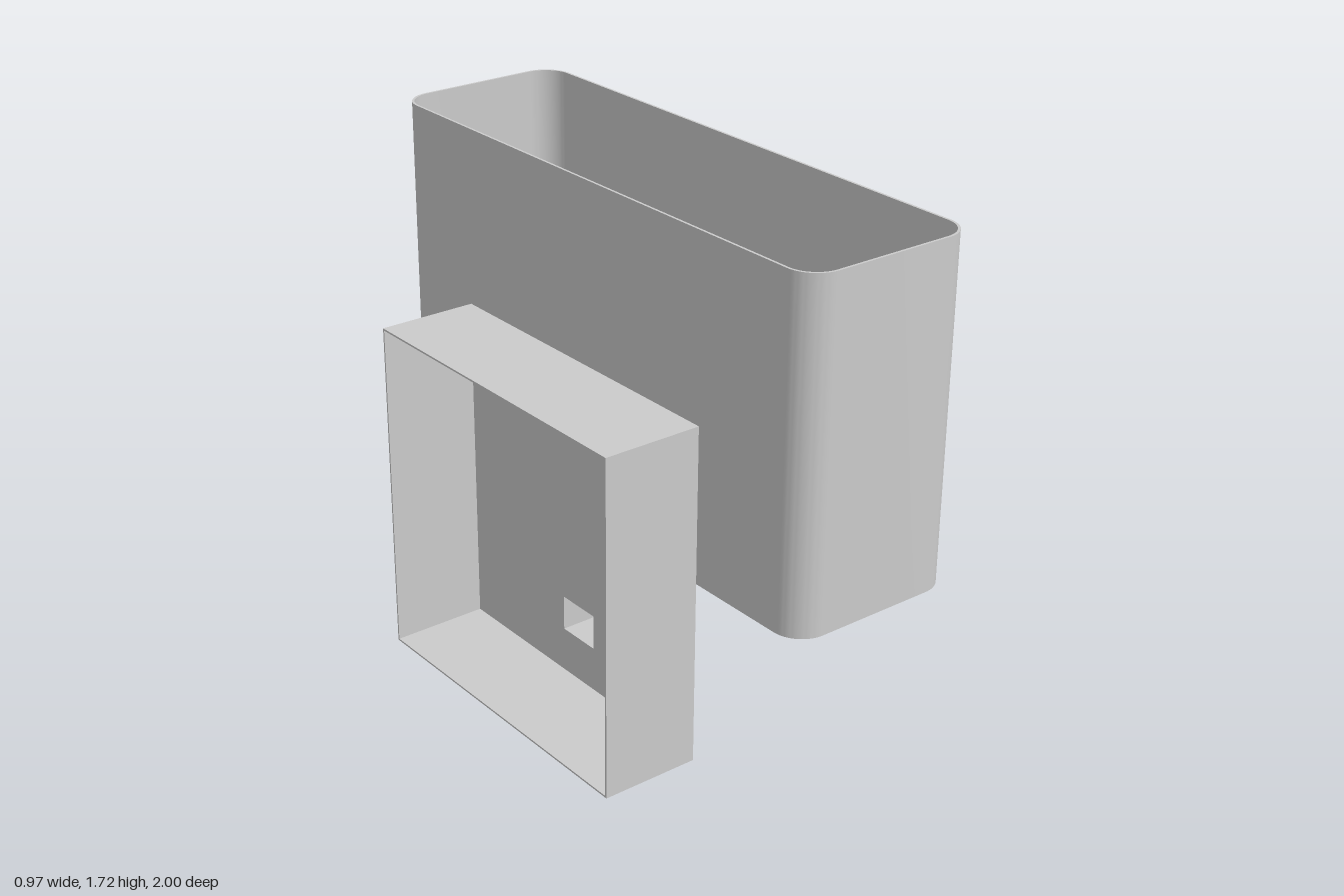
import * as THREE from 'three';
import { toCreasedNormals } from 'three/addons/utils/BufferGeometryUtils.js';

const grey = new THREE.MeshStandardMaterial({ color: 0xcccccc });
const greyDouble = new THREE.MeshStandardMaterial({ color: 0xcccccc, side: THREE.DoubleSide });

function add(group, name, geometry, material = grey) {
  const mesh = new THREE.Mesh(geometry, material);
  mesh.name = name;
  group.add(mesh);
  return mesh;
}

// Rectangle outline with optional rounded corners
function rect(Type, x0, y0, x1, y1, r = 0) {
  const p = new Type();
  if (r === 0) {
    return p.moveTo(x0, y0).lineTo(x1, y0).lineTo(x1, y1).lineTo(x0, y1).closePath();
  }
  p.moveTo(x0 + r, y0).lineTo(x1 - r, y0);
  p.absarc(x1 - r, y0 + r, r, -Math.PI / 2, 0);
  p.lineTo(x1, y1 - r).absarc(x1 - r, y1 - r, r, 0, Math.PI / 2);
  p.lineTo(x0 + r, y1).absarc(x0 + r, y1 - r, r, Math.PI / 2, Math.PI);
  p.lineTo(x0, y0 + r).absarc(x0 + r, y0 + r, r, Math.PI, Math.PI * 1.5);
  return p;
}

// Extrudes an outline with one hole
function frame(outer, hole, depth) {
  outer.holes.push(hole);
  const g = new THREE.ExtrudeGeometry(outer, { depth, bevelEnabled: false, curveSegments: 10 });
  return toCreasedNormals(g, 0.5);
}

// Square-section tube, bent once, open at both ends
function bentArm() {
  const w = 0.08;
  // lower/outer and upper/inner corner of each section
  const sections = [
    [-0.155, 0.16, -0.155, 0.28],
    [0.23, 0.16, 0.12, 0.28],
    [0.23, 0.63, 0.12, 0.63],
  ];
  const pos = [];
  const index = [];
  for (const [ox, oy, ix, iy] of sections) {
    pos.push(ox, oy, w, ix, iy, w, ix, iy, -w, ox, oy, -w);
  }
  for (let s = 0; s < 2; s++) {
    for (let i = 0; i < 4; i++) {
      const a = s * 4 + i;
      const b = s * 4 + ((i + 1) % 4);
      index.push(a, a + 4, b, b, a + 4, b + 4);
    }
  }
  const g = new THREE.BufferGeometry();
  g.setAttribute('position', new THREE.Float32BufferAttribute(pos, 3));
  g.setIndex(index);
  return toCreasedNormals(g, 0.3);
}

export function createModel() {
  const lamp = new THREE.Group();
  lamp.name = 'wallLamp';

  // Wall box: thin sides, open at the wall, with a hole for the arm
  const t = 0.006;
  const wallBox = new THREE.Group();
  wallBox.name = 'wallBox';
  lamp.add(wallBox);
  const sides = frame(
    rect(THREE.Shape, -0.58, 0, 0.58, 1.14),
    rect(THREE.Path, -0.58 + t, t, 0.58 - t, 1.14 - t), 0.335);
  add(wallBox, 'wallBoxSides', sides.rotateY(Math.PI / 2).translate(-0.49, 0, 0));
  const panel = frame(
    rect(THREE.Shape, -0.58 + t, t, 0.58 - t, 1.14 - t),
    rect(THREE.Path, -0.08, 0.16, 0.08, 0.28), t);
  add(wallBox, 'wallBoxPanel', panel.rotateY(Math.PI / 2).translate(-0.155 - t, 0, 0));

  // Arm and the block that carries the bulb
  add(lamp, 'arm', bentArm(), greyDouble);
  const cx = 0.175;
  add(lamp, 'hub', new THREE.BoxGeometry(0.21, 0.14, 0.22)).position.set(cx, 0.68, 0);

  // Four spokes holding the shade
  const spokes = new THREE.Group();
  spokes.name = 'spokes';
  lamp.add(spokes);
  for (const [dx, dz, length] of [[1, 0, 0.3], [-1, 0, 0.3], [0, 1, 0.995], [0, -1, 0.995]]) {
    const rod = new THREE.CylinderGeometry(0.013, 0.013, length, 12);
    if (dx) rod.rotateZ(Math.PI / 2);
    else rod.rotateX(Math.PI / 2);
    add(spokes, 'spoke', rod).position.set(cx + dx * length / 2, 0.645, dz * length / 2);
  }

  // Bulb: narrow neck flaring into a globe
  const profile = [[0.06, 0.75], [0.06, 0.82], [0.075, 0.89], [0.1, 0.96]]
    .map(([r, y]) => new THREE.Vector2(r, y));
  for (let i = 0; i <= 14; i++) {
    const a = -0.42 + (i / 14) * (Math.PI / 2 + 0.42);
    profile.push(new THREE.Vector2(Math.max(0, 0.128 * Math.cos(a)), 1.04 + 0.128 * Math.sin(a)));
  }
  add(lamp, 'bulb', new THREE.LatheGeometry(profile, 32), greyDouble).position.x = cx;

  // Shade: thin rounded rectangular tube, open above and below
  const s = 0.008;
  const shade = frame(
    rect(THREE.Shape, -0.13, -1, 0.48, 1, 0.1),
    rect(THREE.Path, -0.13 + s, -1 + s, 0.48 - s, 1 - s, 0.1 - s), 1.12);
  add(lamp, 'shade', shade.rotateX(-Math.PI / 2).translate(0, 0.6, 0));

  return lamp;
}
